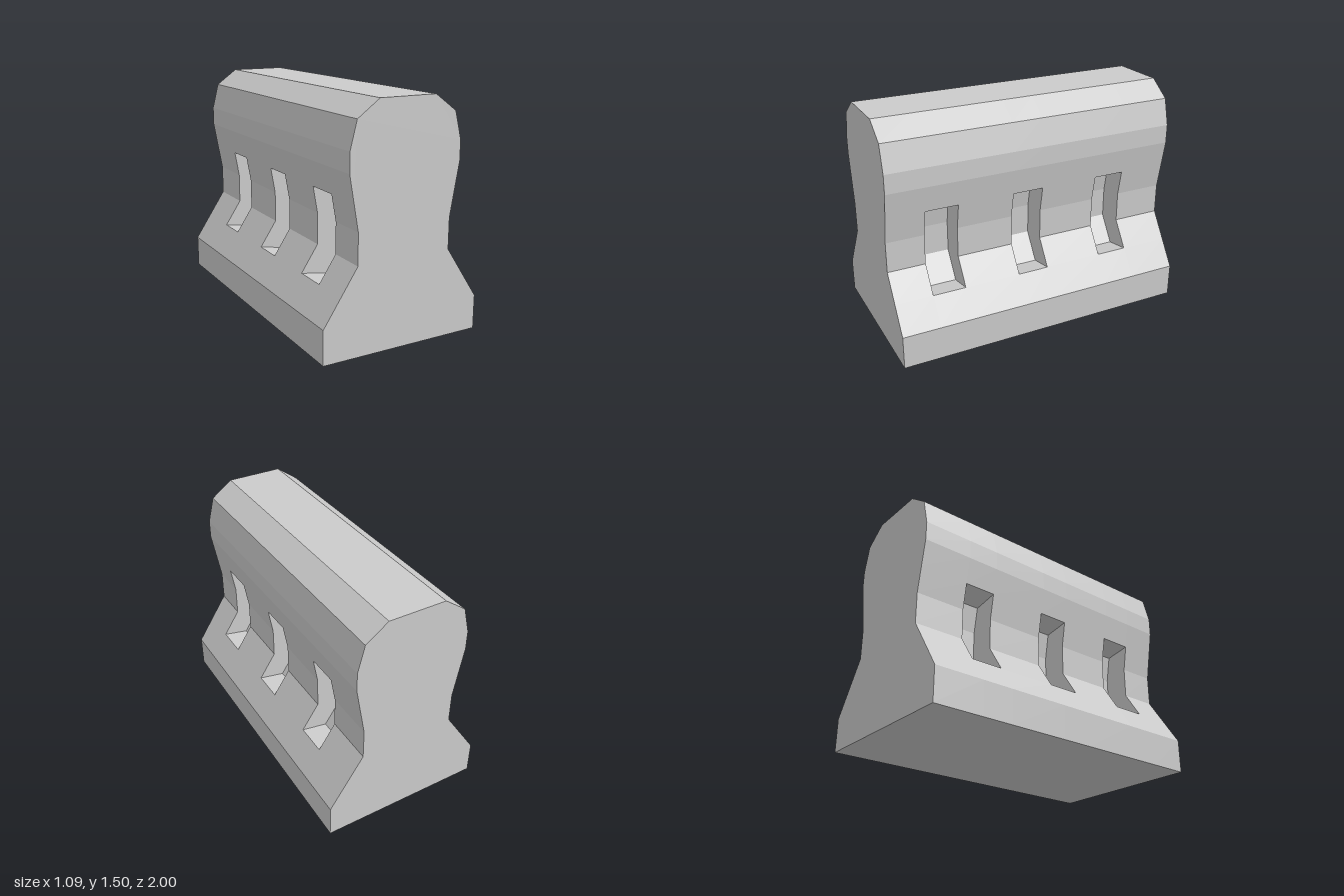
import * as THREE from 'three';

// Right half of the cross-section, bottom to top
const LOWER = [[0.545, 0], [0.545, 0.22]];
const SLOT_MOUTH = [[0.4325, 0.39], [0.32, 0.56], [0.32, 0.76], [0.35, 0.93]];
const UPPER = [[0.38, 1.1], [0.38, 1.225], [0.335, 1.4], [0.19, 1.505]];
// Slot back: the mouth outline pushed inward and slightly down
const SLOT_BACK = SLOT_MOUTH.map(([x, y]) => [x - 0.17, y - 0.03]);
// Back and front z of each slot
const SLOTS = [[-0.67, -0.46], [-0.06, 0.15], [0.53, 0.75]];
const HALF_LENGTH = 1;

const mirror = (pts) => pts.map(([x, y]) => [-x, y]).reverse();
const material = new THREE.MeshStandardMaterial({ color: 0xcccccc, flatShading: true });

// Sweeps an open run of section points from z0 to z1
function addStrip(out, pts, z0, z1) {
  for (let i = 0; i < pts.length - 1; i++) {
    const [ax, ay] = pts[i];
    const [bx, by] = pts[i + 1];
    out.push(ax, ay, z1, ax, ay, z0, bx, by, z0);
    out.push(ax, ay, z1, bx, by, z0, bx, by, z1);
  }
}

function stripMesh(name, positions) {
  const geo = new THREE.BufferGeometry();
  geo.setAttribute('position', new THREE.Float32BufferAttribute(positions, 3));
  geo.computeVertexNormals();
  const mesh = new THREE.Mesh(geo, material);
  mesh.name = name;
  return mesh;
}

// Flat section at a given z, facing front or back
function sectionMesh(name, pts, z, facesFront) {
  const outline = facesFront ? pts : mirror(pts);
  const geo = new THREE.ShapeGeometry(new THREE.Shape(outline.map(([x, y]) => new THREE.Vector2(x, y))));
  if (!facesFront) geo.rotateY(Math.PI);
  geo.translate(0, 0, z);
  const mesh = new THREE.Mesh(geo, material);
  mesh.name = name;
  return mesh;
}

export function createModel() {
  const model = new THREE.Group();
  model.name = 'barrier';

  const half = [...LOWER, ...SLOT_MOUTH, ...UPPER];
  const section = [...half, ...mirror(half)];

  // Outer skin: split along its length so the slot mouths stay open
  const skin = [];
  const lowerRun = [...LOWER, SLOT_MOUTH[0]];
  const upperRun = [SLOT_MOUTH[3], ...UPPER];
  const zs = [-HALF_LENGTH, ...SLOTS.flat(), HALF_LENGTH];
  for (let i = 0; i < zs.length - 1; i++) {
    const [z0, z1] = [zs[i], zs[i + 1]];
    if (i % 2 === 0) {
      addStrip(skin, [...section, section[0]], z0, z1);
    } else {
      addStrip(skin, [...upperRun, ...mirror(upperRun)], z0, z1);
      addStrip(skin, [...mirror(lowerRun), ...lowerRun], z0, z1);
    }
  }
  const body = new THREE.Group();
  body.name = 'body';
  body.add(
    stripMesh('bodySkin', skin),
    sectionMesh('frontEnd', section, HALF_LENGTH, true),
    sectionMesh('backEnd', section, -HALF_LENGTH, false)
  );
  model.add(body);

  // Bent slots on both sides: floor, back and ceiling, then end walls
  const pocketRun = [SLOT_MOUTH[0], ...SLOT_BACK, SLOT_MOUTH[3]];
  const pocketWall = [...SLOT_MOUTH, ...[...SLOT_BACK].reverse()];
  for (const side of ['left', 'right']) {
    const place = side === 'left' ? (p) => p : mirror;
    SLOTS.forEach(([z0, z1], i) => {
      const slot = new THREE.Group();
      slot.name = `${side}Slot${i + 1}`;
      const lining = [];
      addStrip(lining, place(pocketRun), z0, z1);
      slot.add(
        stripMesh('slotLining', lining),
        sectionMesh('slotBackWall', place(pocketWall), z0, true),
        sectionMesh('slotFrontWall', place(pocketWall), z1, false)
      );
      model.add(slot);
    });
  }
  return model;
}
